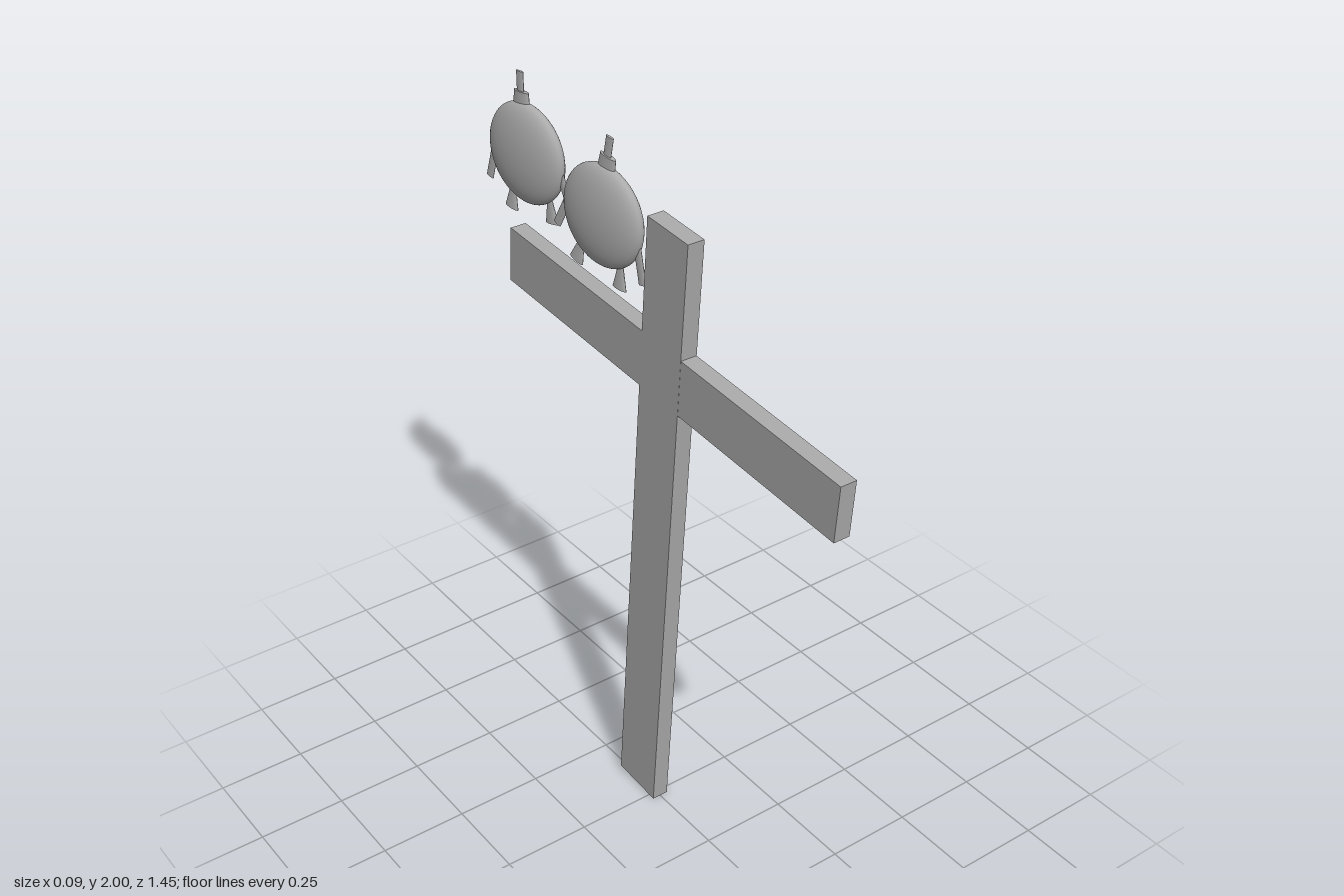
import * as THREE from 'three';

const TILT = 0.076;   // lean of the cross
const FLAT = 0.29;    // thickness of the round figures relative to their width

export function createModel() {
  const model = new THREE.Group();
  model.name = 'crossWithFigures';
  const grey = new THREE.MeshStandardMaterial({ color: 0xaaaaaa });
  grey.name = 'grey';

  const add = (parent, name, geometry, x, y, z) => {
    const mesh = new THREE.Mesh(geometry, grey);
    mesh.name = name;
    mesh.position.set(x, y, z);
    parent.add(mesh);
    return mesh;
  };

  // Leaning cross: upright post and crossbar
  add(model, 'post', new THREE.BoxGeometry(0.048, 1.823, 0.16), 0, 0.916, 0.01).rotation.x = TILT;
  add(model, 'crossbar', new THREE.BoxGeometry(0.047, 0.16, 1.346), 0, 1.425, 0.049).rotation.x = TILT;

  // Tapered limb between two points in the figure's plane, given as [z, y]
  const limb = (parent, name, [z0, y0], [z1, y1], rTop, rBottom) => {
    const top = new THREE.Vector3(0, y0, z0);
    const bottom = new THREE.Vector3(0, y1, z1);
    const dir = top.clone().sub(bottom);
    const mid = top.clone().add(bottom).multiplyScalar(0.5);
    const mesh = add(parent, name, new THREE.CylinderGeometry(rTop, rBottom, dir.length(), 16), mid.x, mid.y, mid.z);
    mesh.quaternion.setFromUnitVectors(new THREE.Vector3(0, 1, 0), dir.normalize());
  };

  // Flattened round figure with cap, stem, arms and feet
  const figure = (name, y, z, roll) => {
    const g = new THREE.Group();
    g.name = name;
    g.position.set(0, y, z);
    g.rotation.set(roll, 0.15, 0, 'YXZ');
    g.scale.x = FLAT;
    add(g, 'body', new THREE.SphereGeometry(0.138, 40, 28), 0, 0, 0);
    limb(g, 'cap', [-0.013, 0.165], [-0.013, 0.125], 0.027, 0.03);
    limb(g, 'stem', [-0.016, 0.217], [-0.016, 0.16], 0.013, 0.013);
    limb(g, 'frontArm', [0.122, -0.012], [0.162, -0.112], 0.013, 0.013);
    limb(g, 'backArm', [-0.122, -0.012], [-0.152, -0.112], 0.013, 0.013);
    limb(g, 'frontFoot', [0.082, -0.105], [0.089, -0.167], 0.01, 0.024);
    limb(g, 'backFoot', [-0.06, -0.112], [-0.069, -0.174], 0.01, 0.024);
    model.add(g);
  };
  figure('nearFigure', 1.74, -0.217, 0.2);
  figure('farFigure', 1.783, -0.557, 0);

  return model;
}
